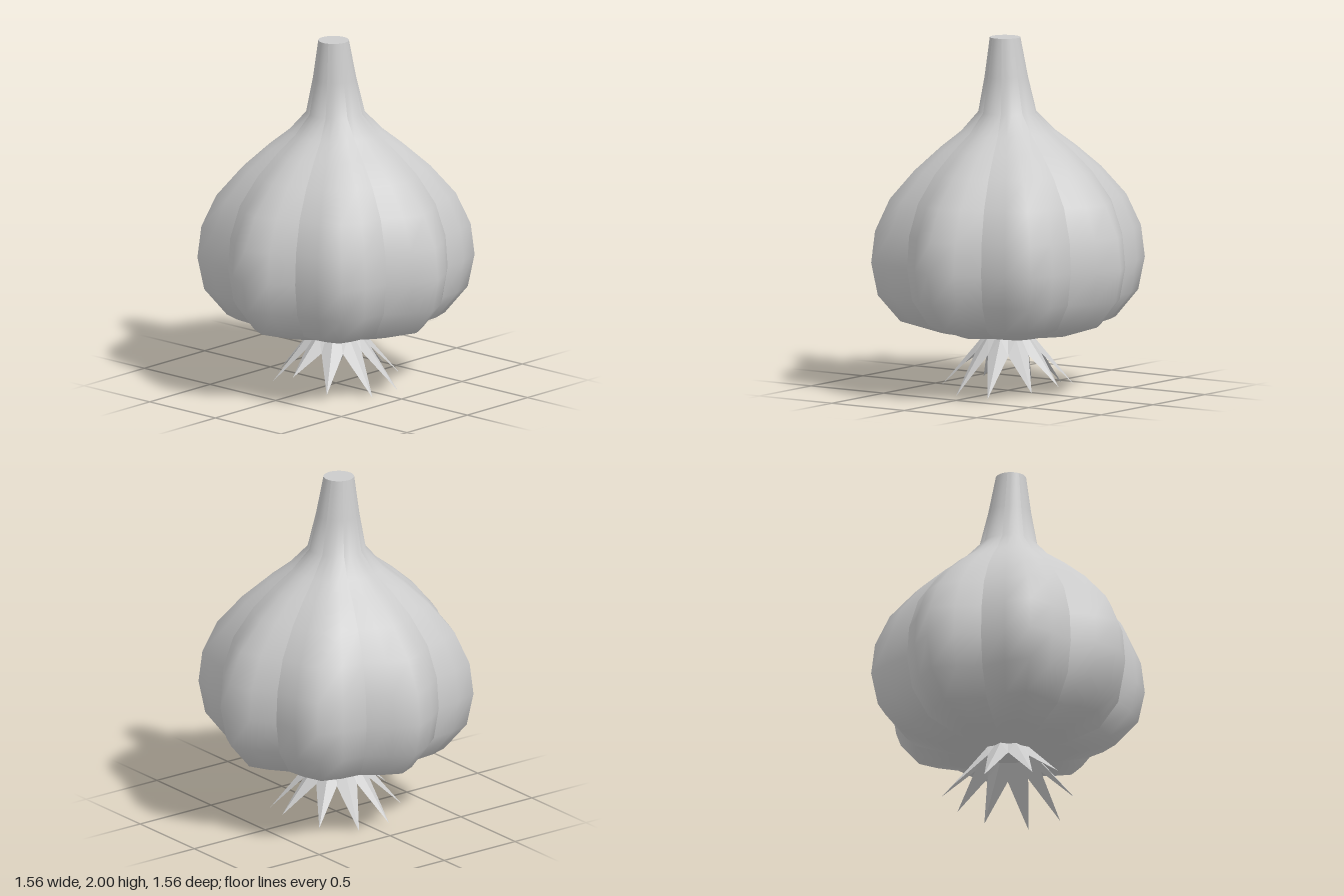
import * as THREE from 'three';

const LOBES = 8;
const STEP = (Math.PI * 2) / LOBES;

// Ridge profile from neck to base: [height, radius, groove depth, sideways lean]
const PROFILE = [
  [2.0, 0.086, 0, -0.02],
  [1.78, 0.122, 0.01, -0.012],
  [1.58, 0.165, 0.03, -0.005],
  [1.47, 0.27, 0.06, 0],
  [1.38, 0.39, 0.075, 0],
  [1.26, 0.53, 0.09, 0],
  [1.1, 0.672, 0.115, 0],
  [0.92, 0.756, 0.135, 0],
  [0.74, 0.778, 0.143, 0],
  [0.555, 0.74, 0.143, 0],
  [0.405, 0.612, 0.143, 0],
  [0.335, 0.385, 0.143, 0],
  [0.305, 0.13, 0.1, 0],
  [0.302, 0, 0, 0],
];

// Across one clove: [fraction of its angle, share of the groove depth]
const SECTION = [[-0.5, 1], [-0.24, 0.48], [0, 0], [0.24, 0.48], [0.5, 1]];

function buildGeometry(positions, index) {
  const g = new THREE.BufferGeometry();
  g.setAttribute('position', new THREE.Float32BufferAttribute(positions, 3));
  if (index) g.setIndex(index);
  g.computeVertexNormals();
  return g;
}

// One clove from neck to base, smooth inside and creased at its grooves
function cloveGeometry(angle) {
  const pos = [], index = [], n = SECTION.length;
  for (const [y, r, depth, lean] of PROFILE) {
    for (const [t, share] of SECTION) {
      const a = angle + t * STEP, rr = r * (1 - depth * share);
      pos.push(rr * Math.sin(a) + lean, y, rr * Math.cos(a));
    }
  }
  for (let i = 0; i < PROFILE.length - 1; i++) {
    for (let j = 0; j < n - 1; j++) {
      const a = i * n + j, b = a + n;
      index.push(a, b, a + 1, b, b + 1, a + 1);
    }
  }
  return buildGeometry(pos, index);
}

// One folded, pointed root
function rootGeometry(angle, tipRadius, tipY, twist) {
  const half = Math.PI / 10;
  const point = (a, r, y) => [r * Math.sin(a), y, r * Math.cos(a)];
  const baseL = point(angle - half, 0.125, 0.31);
  const baseR = point(angle + half, 0.125, 0.31);
  const baseM = point(angle, 0.14, 0.31);
  const notchL = point(angle - half, 0.195, 0.22);
  const notchR = point(angle + half, 0.195, 0.22);
  const tip = point(angle + twist, tipRadius, tipY);
  const faces = [
    baseL, notchL, baseM, notchL, tip, baseM,
    baseM, tip, notchR, baseM, notchR, baseR,
  ];
  return buildGeometry(faces.flat());
}

export function createModel() {
  const model = new THREE.Group();
  model.name = 'garlicBulb';
  const skin = new THREE.MeshStandardMaterial({ color: 0xcccccc });
  const rootSkin = new THREE.MeshStandardMaterial({
    color: 0xcccccc, flatShading: true, side: THREE.DoubleSide,
  });

  // Ring of cloves, drawn together into the neck
  const bulb = new THREE.Group();
  bulb.name = 'bulb';
  for (let k = 0; k < LOBES; k++) {
    const clove = new THREE.Mesh(cloveGeometry(k * STEP), skin);
    clove.name = 'clove' + (k + 1);
    bulb.add(clove);
  }
  model.add(bulb);

  // Cut end of the neck
  const cut = new THREE.Mesh(new THREE.CircleGeometry(PROFILE[0][1], 32), skin);
  cut.name = 'neckCut';
  cut.rotation.x = -Math.PI / 2;
  cut.position.set(PROFILE[0][3], PROFILE[0][0], 0);
  model.add(cut);

  // Skirt of ten slightly uneven roots
  const roots = new THREE.Group();
  roots.name = 'roots';
  for (let k = 0; k < 10; k++) {
    const angle = ((k + 0.5) * Math.PI) / 5;
    const tipY = [0.0, 0.03, 0.05, 0.03, 0.01, 0.01, 0.03, 0.1, 0.03, 0.0][k];
    const twist = 0.06 * Math.sin(k * 2.3);
    const root = new THREE.Mesh(rootGeometry(angle, 0.38 - tipY * 0.3, tipY, twist), rootSkin);
    root.name = 'root' + (k + 1);
    roots.add(root);
  }
  model.add(roots);

  return model;
}
